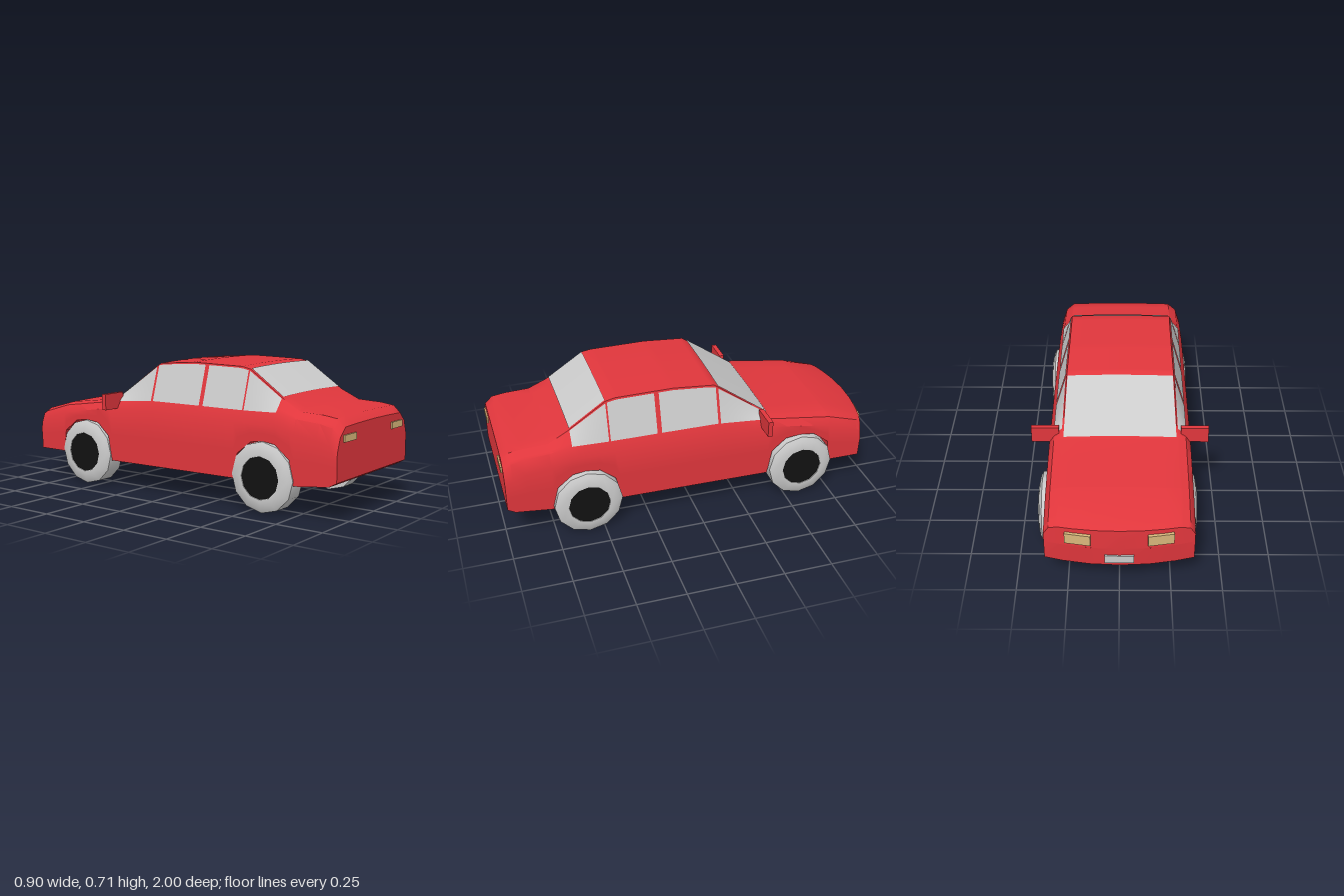
import * as THREE from 'three';
import { toCreasedNormals } from 'three/addons/utils/BufferGeometryUtils.js';

const { lerp, clamp } = THREE.MathUtils;
const paint = (color) => new THREE.MeshStandardMaterial({ color, side: THREE.DoubleSide });

// Upper body by station: z, shoulder y, belt x, belt y, top edge x, top edge y
const UPPER = [
  [0.99, 0.34, 0.335, 0.41, 0.285, 0.455], [0.95, 0.37, 0.335, 0.45, 0.29, 0.49],
  [0.88, 0.39, 0.335, 0.465, 0.29, 0.5], [0.75, 0.41, 0.335, 0.475, 0.29, 0.506],
  [0.65, 0.43, 0.335, 0.495, 0.28, 0.555], [0.45, 0.44, 0.335, 0.487, 0.275, 0.69],
  [0.4, 0.44, 0.335, 0.487, 0.272, 0.7], [0.1, 0.44, 0.335, 0.487, 0.272, 0.704],
  [-0.12, 0.44, 0.335, 0.487, 0.275, 0.687], [-0.41, 0.43, 0.335, 0.468, 0.29, 0.48],
  [-0.5, 0.42, 0.335, 0.455, 0.29, 0.466], [-0.75, 0.38, 0.335, 0.42, 0.29, 0.434],
  [-0.96, 0.33, 0.335, 0.37, 0.29, 0.385], [-0.99, 0.31, 0.335, 0.355, 0.29, 0.37],
];
// Underside with wheel arches: z, y
const LOWER = [
  [0.99, 0.2], [0.95, 0.177], [0.755, 0.155], [0.73, 0.28], [0.65, 0.345], [0.58, 0.355], [0.51, 0.345],
  [0.43, 0.28], [0.405, 0.152], [-0.4, 0.146], [-0.425, 0.28], [-0.5, 0.345], [-0.58, 0.355],
  [-0.66, 0.345], [-0.745, 0.28], [-0.76, 0.16], [-0.99, 0.16],
];
const HALF = 0.36;

// Linear lookup in a table sorted by falling z
function sample(table, z) {
  let i = 0;
  while (i < table.length - 2 && z < table[i + 1][0]) i++;
  const [a, b] = [table[i], table[i + 1]];
  const t = clamp((a[0] - z) / (a[0] - b[0]), 0, 1);
  return a.map((v, k) => lerp(v, b[k], t));
}

// The nose is bowed in plan
const bow = (x, z) => z + 0.055 * (x / HALF) ** 2 * clamp((-z - 0.8) / 0.19, 0, 1);

// Points on the flank above the belt (v = 0..1) and across the top (f = -1..1)
function flank(z, v) {
  const [, , x2, y2, x3, y3] = sample(UPPER, z);
  return [lerp(x2, x3, v), lerp(y2, y3, v)];
}
function crown(z, f) {
  const [, , , , x, y] = sample(UPPER, z);
  return [x * f, y + 0.006 * (1 - f * f)];
}

// Closed cross-section, counterclockwise from the bottom centre
function ring(z) {
  const yb = sample(LOWER, z)[1], y1 = sample(UPPER, z)[1];
  const half = [
    ...[0, 0.4, 0.75, 1].map((f) => [f * HALF, yb]),
    [HALF, lerp(yb, y1, 0.5)], [HALF, y1],
    ...[0, 0.25, 0.5, 0.75, 1].map((v) => flank(z, v)),
    ...[0.75, 0.4, 0].map((f) => crown(z, f)),
  ];
  const mirrored = half.slice(1, -1).reverse().map(([x, y]) => [-x, y]);
  return [...half, ...mirrored, half[0]].map(([x, y]) => [x, y, bow(x, z)]);
}

// Surface through rows of points
function skin(rows) {
  const n = rows[0].length, index = [];
  for (let i = 0; i < rows.length - 1; i++) {
    for (let j = 0; j < n - 1; j++) {
      const a = i * n + j, c = a + n;
      index.push(a, c, a + 1, a + 1, c, c + 1);
    }
  }
  const g = new THREE.BufferGeometry();
  g.setAttribute('position', new THREE.Float32BufferAttribute(rows.flat(2), 3));
  g.setIndex(index);
  g.computeVertexNormals();
  return g;
}

const steps = (a, b, n) => Array.from({ length: n + 1 }, (_, i) => lerp(a, b, i / n));

export function createModel() {
  const car = new THREE.Group();
  car.name = 'car';
  const red = paint(0xe0363c), glass = paint(0xcccccc), grey = paint(0xcccccc);
  const amber = paint(0xd9b77b), black = paint(0x111111);
  const add = (name, geometry, material, x = 0, y = 0, z = 0) => {
    const mesh = new THREE.Mesh(geometry, material);
    mesh.name = name;
    mesh.position.set(x, y, z);
    car.add(mesh);
    return mesh;
  };

  // Body shell, each end closed by squeezing the last section to a line
  const stations = [...UPPER, ...LOWER].map((s) => s[0]).concat(steps(0.65, -0.41, 24));
  const zs = [...new Set(stations.map((z) => +z.toFixed(4)))].sort((a, b) => b - a);
  const rings = zs.map(ring);
  const close = (r, dz) => r.map(([x, , z]) => [x, 0.27, z + dz]);
  rings.unshift(close(rings[0], 0));
  rings.push(close(rings[rings.length - 1], -0.006));
  add('body', toCreasedNormals(skin(rings), 0.6), red);

  // Windscreen and rear window
  const topPane = (name, z0, z1, f) => add(name, skin(steps(z0, z1, 8).map((z) =>
    steps(-f, f, 8).map((k) => {
      const [x, y] = crown(z, k);
      return [x, y + 0.005, z];
    }))), glass);
  topPane('windscreen', -0.14, -0.41, 0.985);
  topPane('rearWindow', 0.64, 0.452, 0.975);

  // Side windows
  const sidePanes = [
    ['quarterWindow', 0.64, 0.452], ['rearDoorWindow', 0.443, 0.2],
    ['frontDoorWindow', 0.176, -0.126], ['frontQuarterWindow', -0.14, -0.37],
  ];
  for (const side of [1, -1]) {
    for (const [name, z0, z1] of sidePanes) {
      add(name, skin(steps(z0, z1, 8).map((z) => steps(0.02, 0.96, 6).map((v) => {
        const [x, y] = flank(z, v);
        return [side * (x + 0.004), y + 0.001, z];
      }))), glass);
    }
  }

  // Tyres with a bevelled outer wall, and dark hubs
  const profile = [[0, 0], [0.177, 0], [0.177, 0.095], [0.155, 0.107], [0.12, 0.115], [0.108, 0.115], [0.106, 0.105]];
  const tyre = toCreasedNormals(new THREE.LatheGeometry(profile.map((p) => new THREE.Vector2(...p)), 12), 0.7);
  const hub = new THREE.CylinderGeometry(0.107, 0.107, 0.02, 12);
  for (const side of [1, -1]) {
    for (const z of [0.58, -0.582]) {
      const x = 0.01 + side * 0.28;
      add('tyre', tyre, grey, x, 0.177, z).rotation.z = -side * Math.PI / 2;
      add('hub', hub, black, x + side * 0.102, 0.177, z).rotation.z = Math.PI / 2;
    }
  }

  // Mirrors, head lamps and tail lamps
  for (const side of [1, -1]) {
    add('mirror', new THREE.BoxGeometry(0.14, 0.085, 0.025), red, side * 0.38, 0.478, -0.37);
    add('headLamp', new THREE.BoxGeometry(0.125, 0.058, 0.03), amber, side * 0.195, 0.32, -0.974)
      .rotation.y = -side * 0.17;
    add('tailLamp', new THREE.BoxGeometry(0.114, 0.034, 0.02), amber, side * 0.244 - 0.003, 0.402, 0.988);
  }

  // Blank front plate
  add('frontPlate', new THREE.BoxGeometry(0.14, 0.045, 0.02), grey, 0, 0.205, -0.99);
  return car;
}
